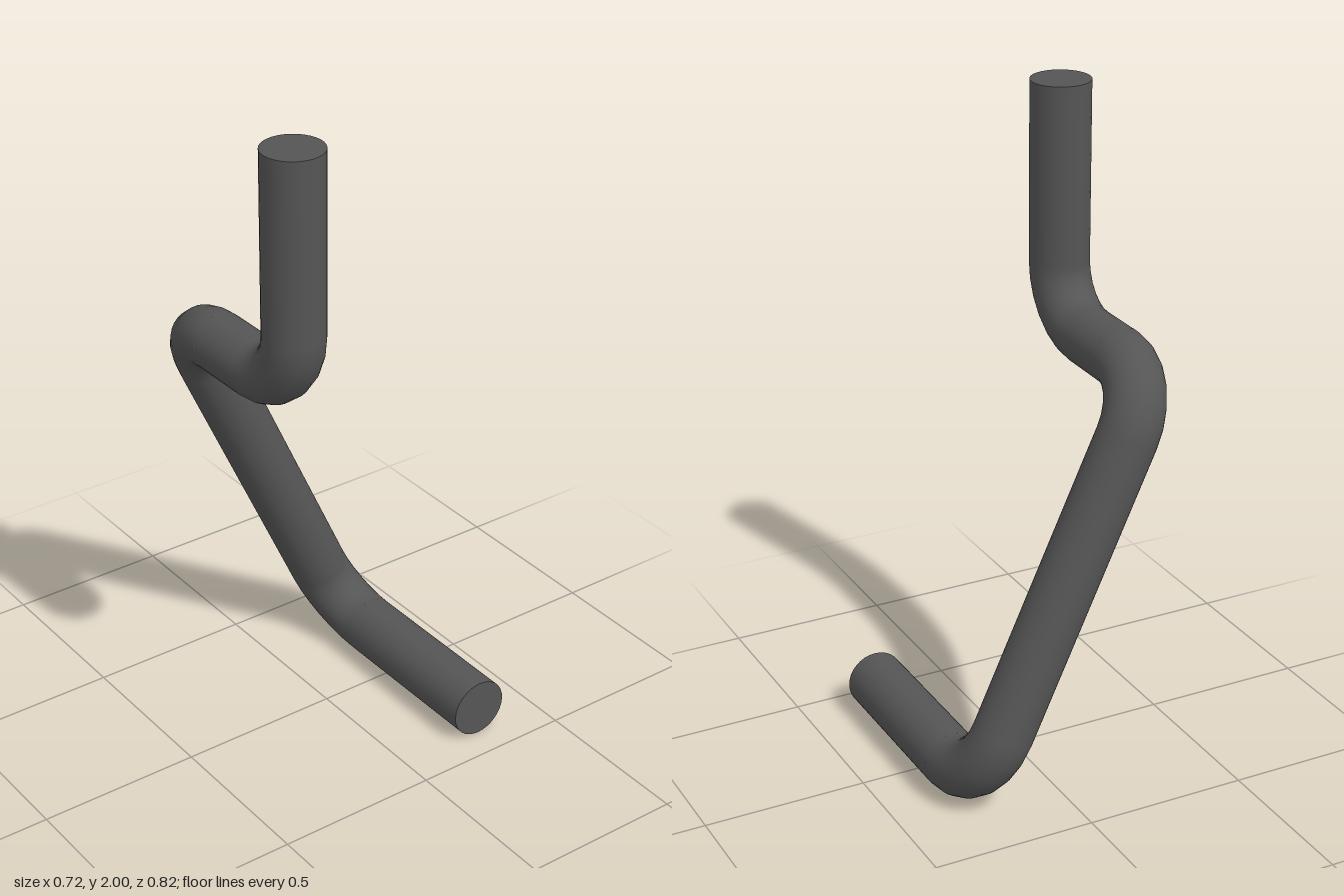
import * as THREE from 'three';

const RADIUS = 0.09;
const BEND = 0.18;
const SIDES = 32;

export function createModel() {
  const group = new THREE.Group();
  group.name = 'bentRod';
  const material = new THREE.MeshStandardMaterial({ color: 0x555555 });
  const up = new THREE.Vector3(0, 1, 0);
  const front = new THREE.Vector3(0, 0, 1);

  // Centre line corners, from the top end to the front foot
  const path = [
    [-0.272, 2, 0.226],
    [-0.272, 1.275, 0.226],
    [-0.272, 1.275, -0.319],
    [0.272, 0.09, -0.319],
    [0.272, 0.09, 0.407],
  ].map((p) => new THREE.Vector3(...p));
  const dirs = path.slice(1).map((p, i) => p.clone().sub(path[i]).normalize());

  function add(name, geometry) {
    const mesh = new THREE.Mesh(geometry, material);
    mesh.name = name;
    group.add(mesh);
    return mesh;
  }

  // Straight lengths, shortened where they meet a bend
  const straightNames = ['upperPost', 'upperArm', 'slantedShaft', 'foot'];
  dirs.forEach((dir, i) => {
    const start = path[i].clone().addScaledVector(dir, i > 0 ? BEND : 0);
    const end = path[i + 1].clone().addScaledVector(dir, i < dirs.length - 1 ? -BEND : 0);
    const tube = new THREE.CylinderGeometry(RADIUS, RADIUS, start.distanceTo(end), SIDES, 1, true);
    const mesh = add(straightNames[i], tube);
    mesh.position.copy(start).add(end).multiplyScalar(0.5);
    mesh.quaternion.setFromUnitVectors(up, dir);
  });

  // Quarter-turn bends
  const bendNames = ['upperBend', 'middleBend', 'lowerBend'];
  bendNames.forEach((name, i) => {
    const into = dirs[i];
    const out = dirs[i + 1];
    const mesh = add(name, new THREE.TorusGeometry(BEND, RADIUS, SIDES, 6, Math.PI / 2));
    const x = out.clone().negate();
    const axis = x.clone().cross(into);
    mesh.quaternion.setFromRotationMatrix(new THREE.Matrix4().makeBasis(x, into, axis));
    mesh.position.copy(path[i + 1]).addScaledVector(into, -BEND).addScaledVector(out, BEND);
  });

  // Flat end caps
  const caps = [
    ['topCap', path[0], dirs[0].clone().negate()],
    ['footCap', path[4], dirs[3]],
  ];
  for (const [name, position, normal] of caps) {
    const mesh = add(name, new THREE.CircleGeometry(RADIUS, SIDES));
    mesh.position.copy(position);
    mesh.quaternion.setFromUnitVectors(front, normal);
  }

  return group;
}
